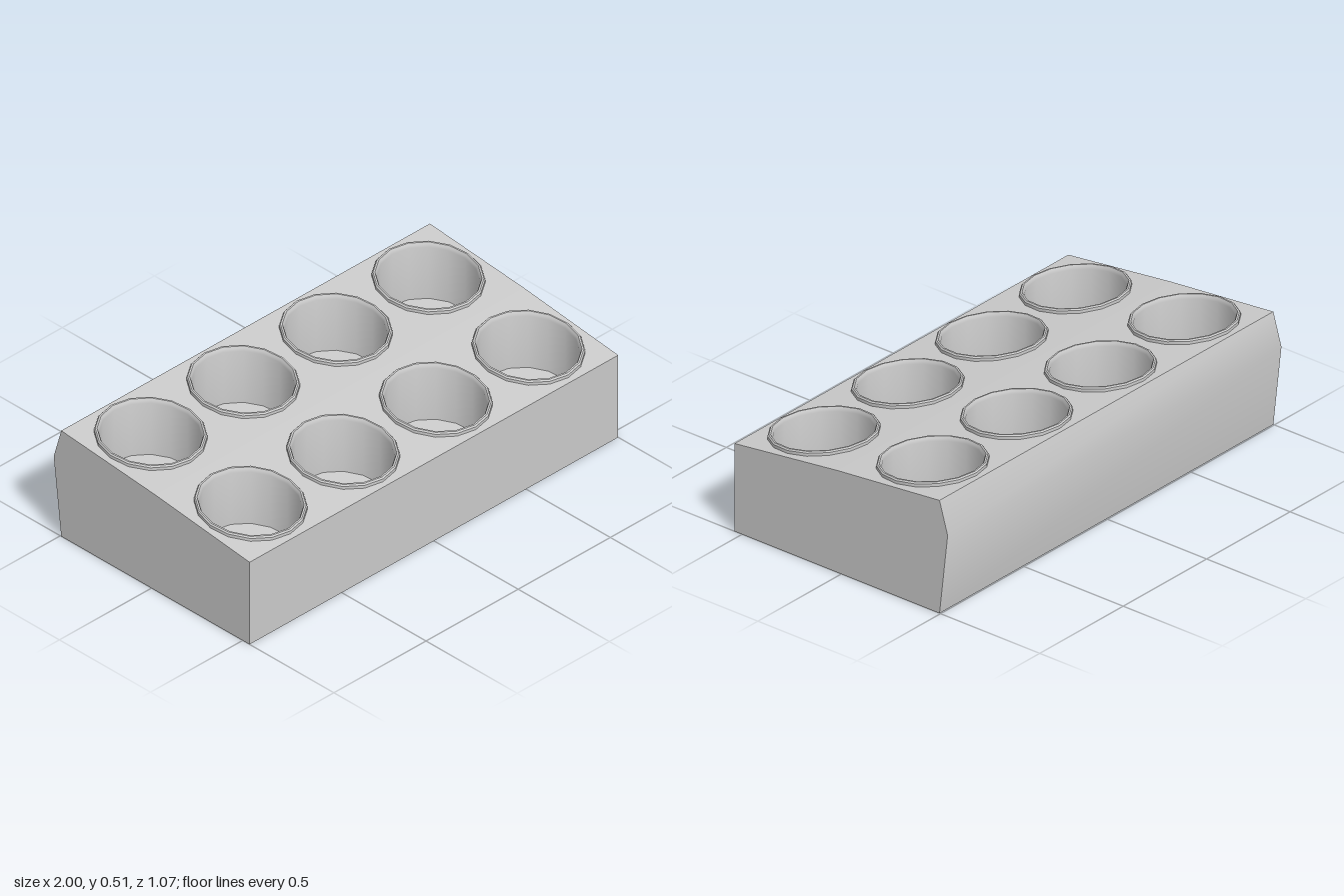
import * as THREE from 'three';
import { toCreasedNormals } from 'three/addons/utils/BufferGeometryUtils.js';

const SIDES = 16, WALL_R = 0.2, RIM_R = 0.219, DEPTH = 0.24;
const COLUMNS = [-0.754, -0.252, 0.251, 0.753];
const ROWS = [-0.253, 0.295];

// side profile as [z, y]
const FRONT_BOTTOM = [0.538, 0], FRONT_TOP = [0.538, 0.385], FOLD = [0.02, 0.447];
const BACK_TOP = [-0.495, 0.495], BACK_BEND = [-0.536, 0.355], BACK_BOTTOM = [-0.495, 0];

// height of the sloping top at a given z
function topHeight(z) {
  const [a, b] = z > FOLD[0] ? [FOLD, FRONT_TOP] : [BACK_TOP, FOLD];
  return a[1] + (b[1] - a[1]) * (z - a[0]) / (b[0] - a[0]);
}

// raise every vertex by the slope of the top
function followSlope(geometry) {
  const p = geometry.attributes.position;
  for (let i = 0; i < p.count; i++) p.setY(i, p.getY(i) + topHeight(p.getZ(i)));
  return geometry;
}

// strip across the full width along a run of profile points
function wallStrip(points) {
  const positions = [], index = [];
  points.forEach(([z, y], i) => {
    positions.push(1, y, z, -1, y, z);
    const k = i * 2;
    if (i) index.push(k - 2, k - 1, k + 1, k - 2, k + 1, k);
  });
  const g = new THREE.BufferGeometry();
  g.setAttribute('position', new THREE.Float32BufferAttribute(positions, 3));
  g.setIndex(index);
  return g;
}

// half of the top, with a row of round openings
function topPanel(zBack, zFront, rowZ) {
  const shape = new THREE.Shape([[-1, -zFront], [1, -zFront], [1, -zBack], [-1, -zBack]]
    .map(([x, y]) => new THREE.Vector2(x, y)));
  for (const x of COLUMNS) {
    const ring = [];
    for (let i = 0; i < SIDES; i++) {
      const a = (i / SIDES) * Math.PI * 2;
      ring.push(new THREE.Vector2(x + WALL_R * Math.sin(a), -rowZ + WALL_R * Math.cos(a)));
    }
    shape.holes.push(new THREE.Path(ring));
  }
  return followSlope(new THREE.ShapeGeometry(shape).rotateX(-Math.PI / 2));
}

export function createModel() {
  const model = new THREE.Group();
  const material = new THREE.MeshStandardMaterial({ color: 0xcccccc, side: THREE.DoubleSide });
  const add = (name, geometry) => {
    const mesh = new THREE.Mesh(toCreasedNormals(geometry, 0.6), material);
    mesh.name = name;
    model.add(mesh);
  };

  // open-bottomed casing
  add('frontWall', wallStrip([FRONT_TOP, FRONT_BOTTOM]));
  add('backWall', wallStrip([BACK_BOTTOM, BACK_BEND, BACK_TOP]));
  add('backTopPanel', topPanel(BACK_TOP[0], FOLD[0], ROWS[0]));
  add('frontTopPanel', topPanel(FOLD[0], FRONT_TOP[0], ROWS[1]));

  const outline = [FRONT_BOTTOM, FRONT_TOP, FOLD, BACK_TOP, BACK_BEND, BACK_BOTTOM];
  for (const side of [1, -1]) {
    const shape = new THREE.Shape(outline.map(([z, y]) => new THREE.Vector2(-side * z, y)));
    add(side > 0 ? 'leftWall' : 'rightWall',
      new THREE.ShapeGeometry(shape).rotateY(side * Math.PI / 2).translate(side, 0, 0));
  }

  // cups with raised rims, upright but cut to the slope
  const cupProfile = [
    [RIM_R, 0], [RIM_R, 0.013], [0.214, 0.019], [0.207, 0.019],
    [0.203, 0.012], [WALL_R, 0], [WALL_R, -DEPTH], [0, -DEPTH],
  ].map(([r, y]) => new THREE.Vector2(r, y));
  for (const z of ROWS) {
    for (const x of COLUMNS) {
      add('cup', followSlope(new THREE.LatheGeometry(cupProfile, SIDES).translate(x, 0, z)));
    }
  }
  return model;
}
